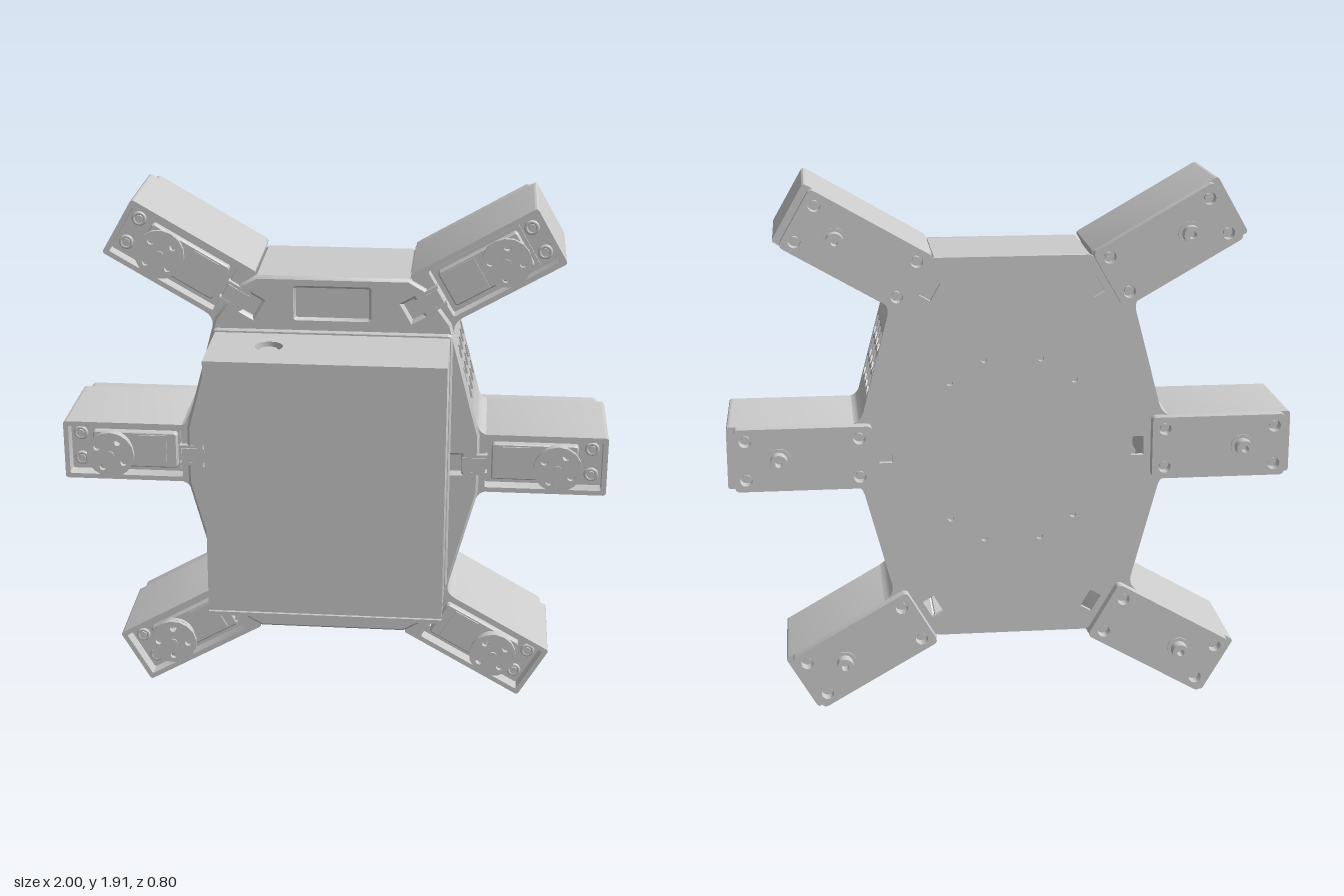
import * as THREE from 'three';
import { toCreasedNormals } from 'three/addons/utils/BufferGeometryUtils.js';

const CY = 0.956, BACK = -0.315, FRONT = 0.06;
const ARM_W = 0.225, ARM_L = 0.46;
const grey = new THREE.MeshStandardMaterial({ color: 0xcccccc });

function add(parent, name, geo, x = 0, y = 0, z = 0) {
  const m = new THREE.Mesh(geo, grey);
  m.name = name;
  m.position.set(x, y, z);
  parent.add(m);
  return m;
}
const box = (w, h, d) => new THREE.BoxGeometry(w, h, d);
// Cylinder running along z
const rod = (r, d, n = 32) => new THREE.CylinderGeometry(r, r, d, n).rotateX(Math.PI / 2);

function roundRect(x0, y0, x1, y1, r, T = THREE.Shape) {
  const s = new T();
  s.moveTo(x0 + r, y0);
  s.lineTo(x1 - r, y0).quadraticCurveTo(x1, y0, x1, y0 + r);
  s.lineTo(x1, y1 - r).quadraticCurveTo(x1, y1, x1 - r, y1);
  s.lineTo(x0 + r, y1).quadraticCurveTo(x0, y1, x0, y1 - r);
  s.lineTo(x0, y0 + r).quadraticCurveTo(x0, y0, x0 + r, y0);
  return s;
}
const circle = (x, y, r) => new THREE.Path().absarc(x, y, r, 0, Math.PI * 2, true);
const poly = (pts, T = THREE.Shape) => new T(pts.map(p => new THREE.Vector2(p[0], p[1])));

// Extrude a shape between two z levels, optionally with a chamfered rim
function slab(shape, z0, z1, holes = [], bevel = 0) {
  shape.holes.push(...holes);
  const g = new THREE.ExtrudeGeometry(shape, {
    depth: z1 - z0 - 2 * bevel, bevelEnabled: bevel > 0, bevelSize: bevel,
    bevelThickness: bevel, bevelOffset: -bevel, bevelSegments: 1, curveSegments: 8,
  });
  return toCreasedNormals(g.translate(0, 0, z0 + bevel), 0.6);
}

// The six arm mounts: base point and heading
const mounts = [];
for (const sx of [1, -1]) for (const sy of [1, 0, -1]) {
  const a = sy * Math.PI / 6;
  mounts.push({
    x: sx * (sy ? 0.367 : 0.54), y: CY + sy * 0.63,
    angle: sx > 0 ? a : Math.PI - a,
  });
}
// Point given in an arm's own frame (u along it, v across it)
function onArm(m, u, v) {
  const c = Math.cos(m.angle), s = Math.sin(m.angle);
  return [m.x + u * c - v * s, m.y + u * s + v * c];
}
const slots = () => mounts.map(m => poly(
  [[-0.115, -0.035], [-0.07, -0.035], [-0.07, 0.035], [-0.115, 0.035]].map(p => onArm(m, ...p)), THREE.Path));

// Body outline, counterclockwise, mirrored into four quarters
function outline() {
  const q = [[0.535, 0.109], [0.423, 0.532], [0.33, 0.66], [0.27, 0.694]];
  const r = [...q].reverse();
  return [...q, ...r.map(p => [-p[0], p[1]]), ...q.map(p => [-p[0], -p[1]]),
    ...r.map(p => [p[0], -p[1]])].map(p => [p[0], p[1] + CY]);
}

// Upright wall panel from p to q, with an optional honeycomb grille
function wall(parent, name, p, q, grille) {
  const X = new THREE.Vector3(q[0] - p[0], q[1] - p[1], 0), L = X.length();
  X.normalize();
  const Y = new THREE.Vector3(0, 0, 1), Z = new THREE.Vector3().crossVectors(X, Y);
  const holes = [];
  if (grille) for (let row = -1; row <= 1; row++) {
    const n = row ? 4 : 5;
    for (let i = 0; i < n; i++) {
      const cz = -0.125 + (i - (n - 1) / 2) * 0.09, pts = [];
      for (let k = 0; k < 6; k++) {
        const a = k * Math.PI / 3;
        const z = cz + 0.044 * Math.sin(a);
        pts.push([L / 2 + row * 0.079 + 0.044 * Math.cos(a), Math.max(-0.295, Math.min(0.045, z))]);
      }
      holes.push(poly(pts, THREE.Path));
    }
  }
  const g = slab(poly([[0, BACK], [L, BACK], [L, FRONT], [0, FRONT]]), -0.02, 0, holes);
  g.applyMatrix4(new THREE.Matrix4().makeBasis(X, Y, Z).setPosition(p[0], p[1], 0));
  add(parent, name, g);
}

function buildBody() {
  const body = new THREE.Group();
  body.name = 'body';
  // Back panel with cable slots and screw holes
  const screws = [];
  for (const sx of [1, -1]) for (const [x, y] of [[0.1, 0.33], [0.22, 0.25], [0.22, -0.25], [0.1, -0.33]])
    screws.push(circle(sx * x, CY + y, 0.011));
  add(body, 'backPanel', slab(poly(outline()), BACK, BACK + 0.02, [...slots(), ...screws]));
  // Front cover with display window
  const win = roundRect(-0.13, 1.5, 0.13, 1.61, 0.004, THREE.Path);
  add(body, 'frontCover', slab(poly(outline()), 0.045, 0.078, [...slots(), win], 0.009));
  add(body, 'display', box(0.28, 0.13, 0.01), 0, 1.555, 0.06);
  // Walls
  for (const s of [1, -1]) {
    const pt = (x, y) => [s * x, CY + s * y];
    wall(body, 'endWall', pt(0.27, 0.694), pt(-0.27, 0.694), false);
    wall(body, 'grilleWall', pt(0.535, 0.109), pt(0.423, 0.532), true);
    wall(body, 'grilleWall', pt(-0.423, 0.532), pt(-0.535, 0.109), true);
  }
  // Curved fillets where the walls run into the arms
  const d = [-0.256, 0.967], t = 0.045;
  for (const sx of [1, -1]) for (const sy of [1, -1]) {
    for (const [px, py, ax, ay, k] of [[0.535, 0.109, 1, 0, 1], [0.423, 0.532, 0.866, 0.5, -1]]) {
      const f = (x, y) => [sx * x, CY + sy * y];
      const sh = new THREE.Shape();
      sh.moveTo(...f(px - 0.01, py));
      sh.lineTo(...f(px + k * d[0] * t, py + k * d[1] * t));
      sh.quadraticCurveTo(...f(px, py), ...f(px + ax * t, py + ay * t));
      add(body, 'wallFillet', slab(sh, BACK, FRONT));
    }
  }
  return body;
}

function buildHousing() {
  const h = new THREE.Group();
  h.name = 'frontHousing';
  add(h, 'baseFlange', slab(roundRect(-0.43, 0.455, 0.43, 1.455, 0.02), 0.07, 0.088, [], 0.007));
  add(h, 'housingShell', slab(roundRect(-0.42, 0.49, 0.42, 1.41, 0.004), 0.075, 0.4));
  add(h, 'seam', box(0.83, 0.03, 0.315), 0, 0.485, 0.2325);
  add(h, 'lowerLid', box(0.84, 0.014, 0.325), 0, 0.477, 0.2375);
  // Top panel with a round button recess
  const top = slab(poly([[-0.42, 0.075], [0.42, 0.075], [0.42, 0.4], [-0.42, 0.4]]), -1.442, -1.41,
    [circle(-0.21, 0.225, 0.05)]).rotateX(Math.PI / 2);
  add(h, 'topPanel', top);
  add(h, 'button', new THREE.CylinderGeometry(0.032, 0.032, 0.02, 24), -0.21, 1.42, 0.225);
  return h;
}

function buildArm(m) {
  const arm = new THREE.Group();
  arm.name = 'arm';
  const w = ARM_W / 2;
  // Open-fronted case
  const pocket = roundRect(0.018, -w + 0.018, ARM_L - 0.018, w - 0.018, 0.008, THREE.Path);
  add(arm, 'case', slab(roundRect(-0.045, -w, ARM_L, w, 0.012), BACK, FRONT, [pocket]));
  add(arm, 'caseFloor', box(0.44, 0.2, 0.02), 0.23, 0, BACK + 0.01);
  // Rear cover plate with screw recesses
  const holes = [];
  for (const u of [0.0, 0.395]) for (const v of [-0.07, 0.07]) holes.push([u, v]);
  add(arm, 'rearPlate', slab(roundRect(-0.045, -w, 0.435, w, 0.02), -0.355, BACK,
    holes.map(p => circle(p[0], p[1], 0.022))));
  for (const p of holes) add(arm, 'rearScrew', rod(0.013, 0.02, 16), p[0], p[1], BACK - 0.008);
  // Rear pivot pin, hollow at the tip
  const ring = new THREE.Shape().absarc(0.28, 0, 0.03, 0, Math.PI * 2);
  add(arm, 'pivotPin', slab(ring, -0.4, -0.355, [circle(0.28, 0, 0.013)]));
  add(arm, 'pivotCollar', rod(0.042, 0.006), 0.28, 0, -0.357);
  // Servo motor in the pocket
  add(arm, 'servoBody', box(0.34, 0.165, 0.31), 0.2, 0, -0.14);
  add(arm, 'servoFace', slab(roundRect(0.04, -0.07, 0.355, 0.07, 0.012), 0.01, 0.04, [], 0.005));
  add(arm, 'servoLabel', box(0.1, 0.12, 0.01), 0.13, 0, 0.041);
  add(arm, 'gearCap', rod(0.073, 0.022), 0.28, 0, 0.045);
  add(arm, 'servoEar', box(0.43, 0.19, 0.03), 0.23, 0, -0.01);
  for (const v of [-0.05, 0.05]) {
    add(arm, 'earScrew', new THREE.TorusGeometry(0.02, 0.007, 8, 20), 0.405, v, 0.01);
    add(arm, 'earScrewHead', rod(0.014, 0.02, 16), 0.405, v, 0.01);
  }
  // Output horn
  add(arm, 'hornHub', rod(0.04, 0.05), 0.28, 0, 0.065);
  const disc = new THREE.Shape().absarc(0.28, 0, 0.088, 0, Math.PI * 2);
  const hornHoles = [0, 1, 2, 3].map(i => {
    const a = Math.PI / 4 + i * Math.PI / 2 + 0.25;
    return circle(0.28 + 0.057 * Math.cos(a), 0.057 * Math.sin(a), 0.013);
  });
  add(arm, 'hornDisc', slab(disc, 0.083, 0.1, hornHoles));
  add(arm, 'hornScrew', rod(0.015, 0.008, 16), 0.28, 0, 0.102);
  // Cable clip bridging body and arm
  add(arm, 'cableClip', box(0.085, 0.055, 0.03), -0.025, 0, 0.066);
  for (const v of [-0.034, 0.034]) add(arm, 'clipRib', box(0.06, 0.01, 0.03), -0.005, v, 0.064);
  arm.position.set(m.x, m.y, 0);
  arm.rotation.z = m.angle;
  return arm;
}

export function createModel() {
  const model = new THREE.Group();
  model.name = 'sixArmedRobotFrame';
  model.add(buildBody(), buildHousing());
  for (const m of mounts) model.add(buildArm(m));
  return model;
}
